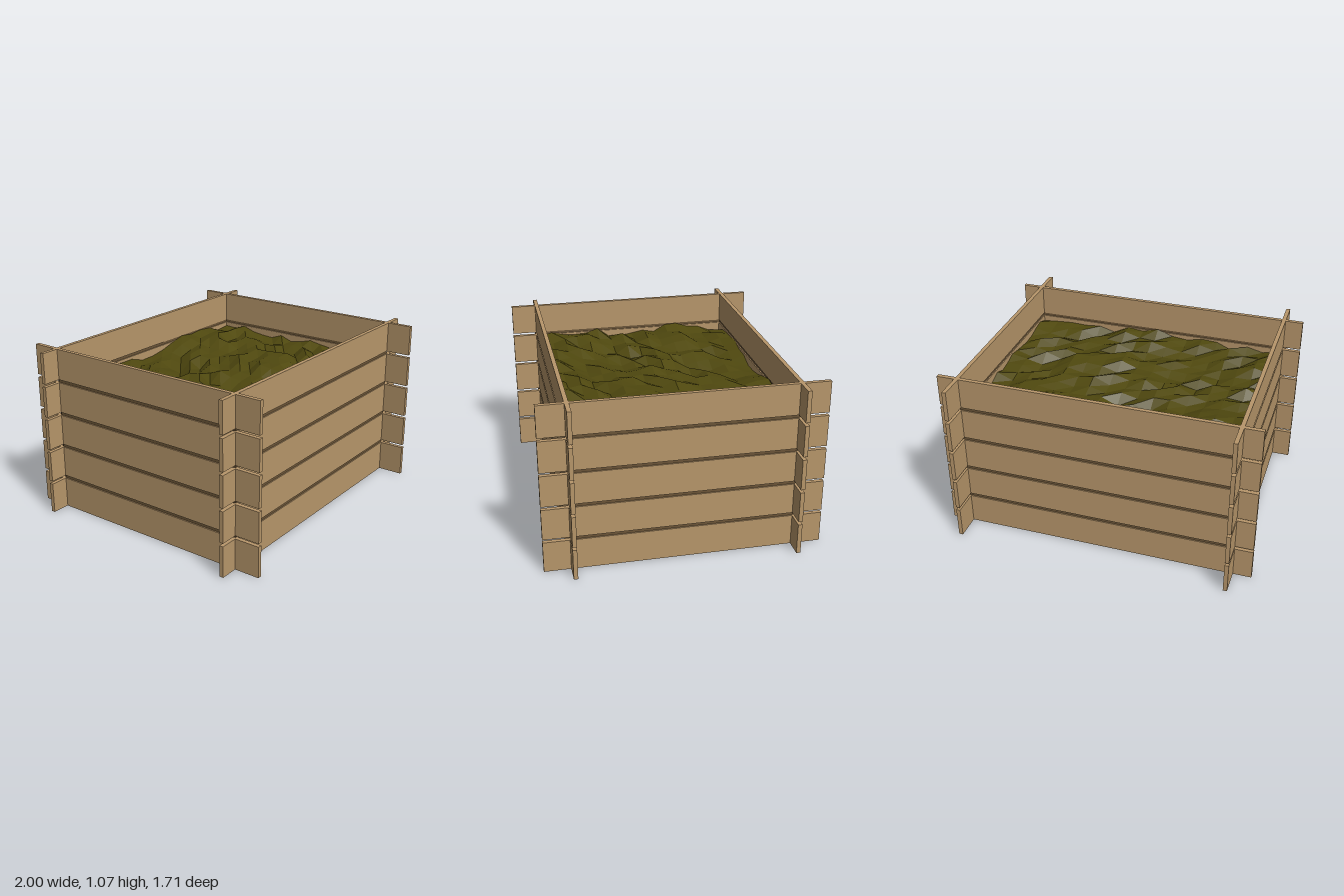
import * as THREE from 'three';

const HALF_X = 0.872, HALF_Z = 0.68;   // wall centre lines
const LEN_X = 2, LEN_Z = 1.71;         // board lengths, running past the corners
const THICK = 0.026, BOARD_H = 0.198, PITCH = 0.218, ROWS = 5;

const wood = new THREE.MeshStandardMaterial({ color: 0xb8976b });
wood.name = 'wood';
const darkWood = new THREE.MeshStandardMaterial({ color: 0x6a5437 });
darkWood.name = 'dark wood';
const earth = new THREE.MeshStandardMaterial({ color: 0x50490f, flatShading: true, side: THREE.DoubleSide });
earth.name = 'earth';

// Small seeded generator for the uneven ground
function seeded(seed) {
  return () => {
    seed = (seed * 16807) % 2147483647;
    return seed / 2147483647;
  };
}

function box(name, material, w, h, d, x, y, z) {
  const mesh = new THREE.Mesh(new THREE.BoxGeometry(w, h, d), material);
  mesh.name = name;
  mesh.position.set(x, y, z);
  return mesh;
}

// One wall of stacked boards with thin dark tongues closing the gaps
function wall(name, length, tongueLength) {
  const group = new THREE.Group();
  group.name = name;
  for (let i = 0; i < ROWS; i++) {
    const y = i * PITCH + BOARD_H / 2;
    group.add(box('board', wood, length, BOARD_H, THICK, 0, y, 0));
    if (i < ROWS - 1) {
      const gapY = i * PITCH + (BOARD_H + PITCH) / 2;
      group.add(box('tongue', darkWood, tongueLength, 0.024, 0.012, 0, gapY, 0));
    }
  }
  return group;
}

// Faceted, gently rolling ground filling the box
function soil() {
  const geometry = new THREE.PlaneGeometry(2 * HALF_X - THICK, 2 * HALF_Z - THICK, 16, 16);
  geometry.rotateX(-Math.PI / 2);
  const random = seeded(4711);
  const p = geometry.attributes.position;
  for (let i = 0; i < p.count; i++) {
    const x = p.getX(i), z = p.getZ(i);
    const roll = 0.016 * Math.sin(6 * x + 2 * z) + 0.012 * Math.cos(9 * z - 3 * x);
    p.setY(i, 0.825 + roll + (random() - 0.5) * 0.06);
  }
  geometry.computeVertexNormals();
  const mesh = new THREE.Mesh(geometry, earth);
  mesh.name = 'soil';
  return mesh;
}

export function createModel() {
  const model = new THREE.Group();
  model.name = 'raisedPlanter';

  for (const side of [1, -1]) {
    const long = wall(side > 0 ? 'frontWall' : 'backWall', LEN_X, 2 * HALF_X);
    long.position.z = side * HALF_Z;
    const short = wall(side > 0 ? 'leftWall' : 'rightWall', LEN_Z, 2 * HALF_Z - 0.012);
    short.rotation.y = Math.PI / 2;
    short.position.x = side * HALF_X;
    model.add(long, short);
  }

  model.add(soil());
  return model;
}
